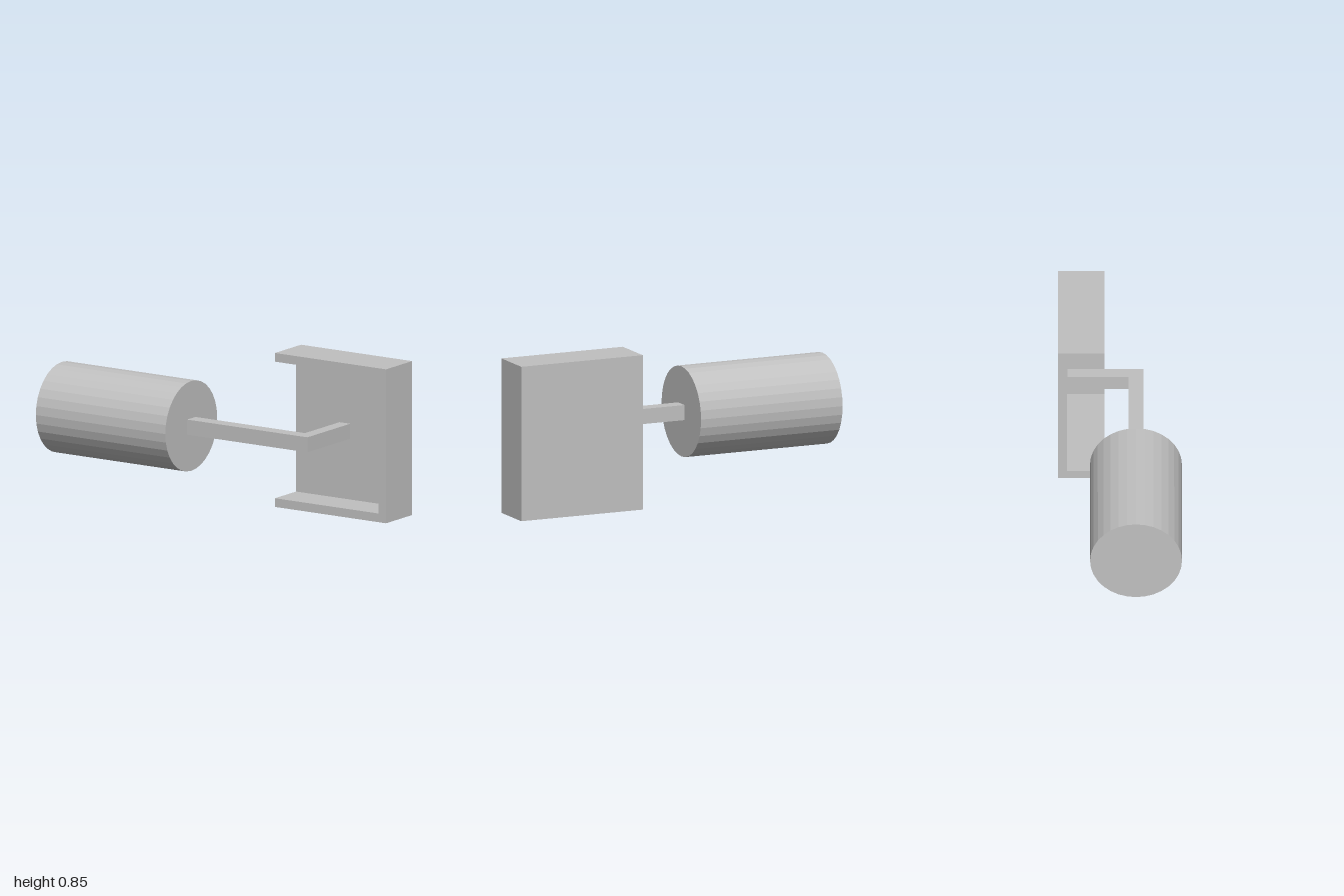
import * as THREE from 'three';

export function createModel() {
  const model = new THREE.Group();
  const grey = new THREE.MeshStandardMaterial({ color: 0xc0c0c0, flatShading: true });
  grey.name = 'plain grey';

  const add = (name, geometry) => {
    const mesh = new THREE.Mesh(geometry, grey);
    mesh.name = name;
    model.add(mesh);
    return mesh;
  };
  // Box given by its lower and upper corners
  const box = (name, a, b) =>
    add(name, new THREE.BoxGeometry(b[0] - a[0], b[1] - a[1], b[2] - a[2]))
      .position.set((a[0] + b[0]) / 2, (a[1] + b[1]) / 2, (a[2] + b[2]) / 2);

  // Cylinder lying along x
  const drum = add('drum', new THREE.CylinderGeometry(0.248, 0.248, 0.845, 32));
  drum.rotation.z = Math.PI / 2;
  drum.position.set(-0.5775, 0.425, 0.085);

  // L-shaped arm from the drum to the back plate, outlined in plan (x, -z)
  const outline = [[-0.155, -0.125], [0.63, -0.125], [0.63, 0.285], [0.56, 0.285], [0.56, -0.045], [-0.155, -0.045]];
  const plan = new THREE.Shape(outline.map(([x, y]) => new THREE.Vector2(x, y)));
  const arm = new THREE.ExtrudeGeometry(plan, { depth: 0.083, bevelEnabled: false });
  arm.rotateX(-Math.PI / 2).translate(0, 0.384, 0);
  add('arm', arm);

  // Housing, open at the front and on the side facing the drum
  const x0 = 0.275, x1 = 1, h = 0.85, z0 = -0.335, z1 = -0.085, t = 0.048;
  box('backPlate', [x0, t, z0], [x1 - t, h - t, z0 + t]);
  box('bottomWall', [x0, 0, z0], [x1 - t, t, z1]);
  box('topWall', [x0, h - t, z0], [x1 - t, h, z1]);
  box('sideWall', [x1 - t, 0, z0], [x1, h, z1]);

  return model;
}
